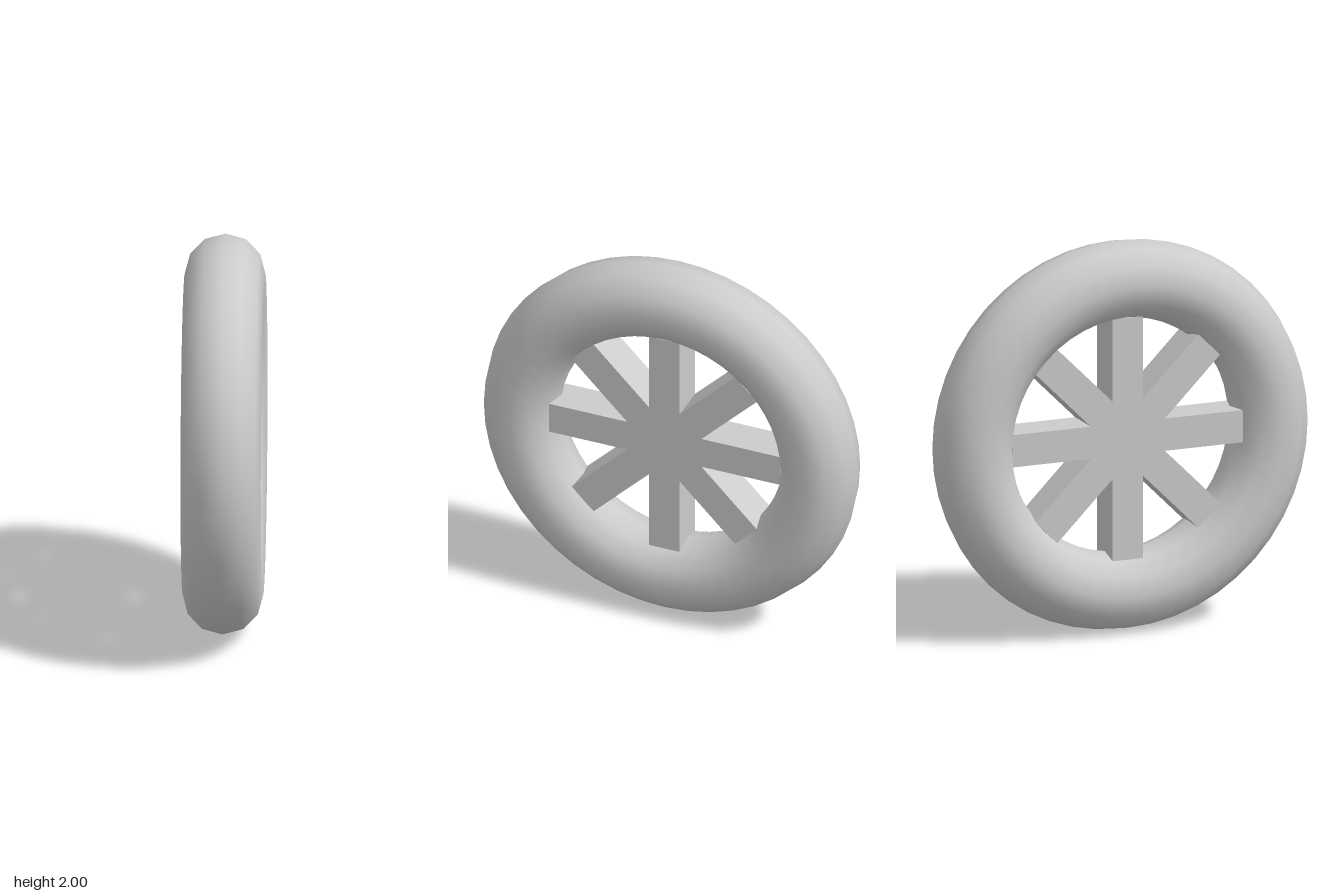
import * as THREE from 'three';

const TUBE_CENTRE = 0.8, TUBE_RADIUS = 0.2;
const SPOKES = 8, SPOKE_REACH = 0.623, SPOKE_HALF_WIDTH = 0.083, DEPTH = 0.2;

// Star outline: two tip corners per spoke, then the notch before the next spoke
function spokeOutline() {
  const step = (Math.PI * 2) / SPOKES;
  const notchRadius = SPOKE_HALF_WIDTH / Math.sin(step / 2);
  const points = [];
  for (let i = 0; i < SPOKES; i++) {
    const a = i * step;
    for (const side of [-1, 1]) {
      points.push(new THREE.Vector2(SPOKE_REACH, side * SPOKE_HALF_WIDTH)
        .rotateAround(new THREE.Vector2(), a));
    }
    points.push(new THREE.Vector2(notchRadius, 0).rotateAround(new THREE.Vector2(), a + step / 2));
  }
  return new THREE.Shape(points);
}

export function createModel() {
  const group = new THREE.Group();
  group.name = 'wheel';
  const material = new THREE.MeshStandardMaterial({ color: 0xcccccc });

  // Smooth round tyre, axle along x
  const tyre = new THREE.Mesh(
    new THREE.TorusGeometry(TUBE_CENTRE, TUBE_RADIUS, 12, 48), material);
  tyre.name = 'tyre';

  // Eight spokes in one flat-faced piece, tips sunk into the tyre
  const spokeGeometry = new THREE.ExtrudeGeometry(spokeOutline(), { depth: DEPTH, bevelEnabled: false });
  spokeGeometry.translate(0, 0, -DEPTH / 2);
  const spokes = new THREE.Mesh(spokeGeometry, material);
  spokes.name = 'spokes';

  for (const part of [tyre, spokes]) {
    part.rotation.y = Math.PI / 2;
    part.position.y = 1;
    group.add(part);
  }
  return group;
}
